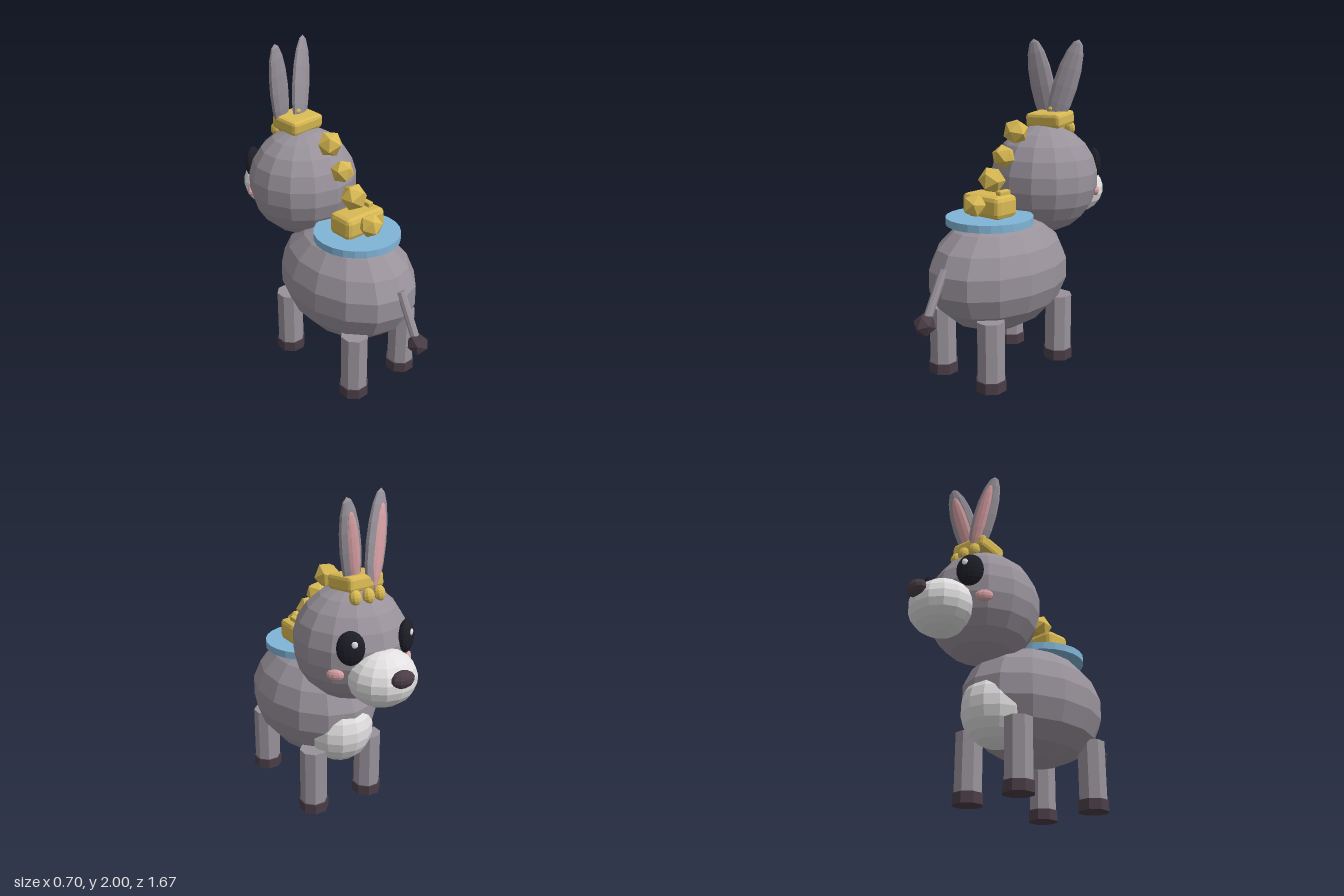
import * as THREE from 'three';
import { RoundedBoxGeometry } from 'three/addons/geometries/RoundedBoxGeometry.js';

const mat = (name, color) => {
  const m = new THREE.MeshStandardMaterial({ color, flatShading: true });
  m.name = name;
  return m;
};

export function createModel() {
  const model = new THREE.Group();
  model.name = 'donkey';
  const grey = mat('greyFur', 0x99929b);
  const white = mat('paleFur', 0xe2e0e1);
  const dark = mat('darkHoof', 0x4b3e47);
  const gold = mat('gold', 0xd8b953);
  const blue = mat('blueCloth', 0x80b4d6);
  const pink = mat('pink', 0xd8a1a5);
  const black = mat('eyeBlack', 0x1e1e28);
  const shine = mat('eyeShine', 0xffffff);

  const add = (name, geometry, material, pos, parent = model) => {
    const mesh = new THREE.Mesh(geometry, material);
    mesh.name = name;
    mesh.position.set(...pos);
    parent.add(mesh);
    return mesh;
  };
  // Faceted ellipsoid, turned half a segment so a flat side faces +x and -x
  const ball = (name, material, pos, radii, seg = 14, rows = 11, parent = model) => {
    const g = new THREE.SphereGeometry(1, seg, rows);
    g.rotateY(Math.PI / 2);
    g.scale(...radii);
    return add(name, g, material, pos, parent);
  };

  // Body, chest, head and muzzle
  ball('body', grey, [0, 0.615, 0.15], [0.365, 0.36, 0.495], 14, 9);
  ball('chestPatch', white, [0, 0.52, -0.16], [0.21, 0.225, 0.212]);
  ball('head', grey, [0, 1.13, -0.28], [0.342, 0.345, 0.342]);
  ball('muzzle', white, [0, 1.02, -0.6], [0.202, 0.165, 0.19]);
  ball('nose', dark, [0, 1.077, -0.787], [0.072, 0.05, 0.045], 10, 7);

  // Legs with hooves
  for (const x of [-0.2, 0.2]) {
    for (const z of [0.445, -0.185]) {
      const leg = new THREE.Group();
      leg.name = z > 0 ? 'backLeg' : 'frontLeg';
      leg.position.set(x, 0, z);
      model.add(leg);
      const shaft = add('shaft', new THREE.CylinderGeometry(0.085, 0.085, 0.37, 8), grey, [0, 0.235, 0], leg);
      const hoof = add('hoof', new THREE.CylinderGeometry(0.093, 0.093, 0.065, 8), dark, [0, 0.0325, 0], leg);
      shaft.rotation.y = hoof.rotation.y = Math.PI / 8;
    }
  }

  // Tail and tuft
  const tail = add('tail', new THREE.CylinderGeometry(0.026, 0.026, 0.32, 8), grey, [0, 0.58, 0.69]);
  tail.rotation.x = -0.48;
  const tuft = add('tailTuft', new THREE.IcosahedronGeometry(0.066, 0), dark, [0, 0.437, 0.77]);
  tuft.rotation.set(-0.48, 0.2, 0);

  // Ears, each leaning its own way, with a pink inner face
  const ears = [
    { name: 'rightEar', center: [-0.095, 1.71, -0.375], lean: [-0.05, 0.29, 0.035] },
    { name: 'leftEar', center: [0.078, 1.71, -0.383], lean: [0.065, 0.285, -0.055] },
  ];
  for (const { name, center, lean } of ears) {
    const ear = new THREE.Group();
    ear.name = name;
    ear.position.set(...center);
    const yaw = new THREE.Quaternion().setFromAxisAngle(new THREE.Vector3(0, 1, 0), 0.3);
    ear.quaternion.setFromUnitVectors(new THREE.Vector3(0, 1, 0), new THREE.Vector3(...lean).normalize()).multiply(yaw);
    model.add(ear);
    ball('outerEar', grey, [0, 0, 0], [0.083, 0.3, 0.034], 10, 8, ear);
    ball('innerEar', pink, [0, -0.01, -0.021], [0.047, 0.235, 0.021], 10, 8, ear);
  }

  // Eyes and cheeks
  for (const side of [-1, 1]) {
    const eye = new THREE.Group();
    eye.name = side > 0 ? 'leftEye' : 'rightEye';
    eye.position.set(side * 0.185, 1.213, -0.56);
    eye.rotation.y = -side * 0.6;
    model.add(eye);
    ball('eyeball', black, [0, 0, 0], [0.08, 0.1, 0.042], 14, 10, eye);
    ball('highlight', shine, [-side * 0.022, 0.035, -0.038], [0.018, 0.02, 0.008], 8, 6, eye);
    const cheek = ball(side > 0 ? 'leftCheek' : 'rightCheek', pink, [side * 0.245, 1.05, -0.502], [0.052, 0.035, 0.024], 10, 7);
    cheek.rotation.y = -side * 0.8;
  }

  // Saddle cloth with the large gold bar
  add('saddleCloth', new THREE.CylinderGeometry(0.263, 0.263, 0.045, 24), blue, [0, 0.947, 0.235]);
  add('largeGoldBar', new RoundedBoxGeometry(0.295, 0.135, 0.178, 1, 0.03), gold, [0, 1.038, 0.235]);
  add('barClasp', new RoundedBoxGeometry(0.04, 0.035, 0.09, 1, 0.008), gold, [0.09, 1.115, 0.213]);

  // Gold bar on the crown, with a stud and three beads before it
  const crown = add('crownGoldBar', new RoundedBoxGeometry(0.25, 0.09, 0.205, 1, 0.022), gold, [0.005, 1.507, -0.33]);
  crown.rotation.set(0.1, 0.12, 0);
  ball('crownStud', gold, [0.01, 1.568, -0.33], [0.018, 0.018, 0.018], 8, 6);
  for (const i of [-1, 0, 1]) {
    const bead = ball('foreheadBead', gold, [i * 0.08, 1.447, -0.452 + Math.abs(i) * 0.012], [0.036, 0.045, 0.034], 10, 8);
    bead.rotation.x = 0.25;
  }

  // Gold nuggets running from the crown down to the bar
  const nuggets = [[1.45, -0.008, 0.08], [1.31, 0.105, 0.073], [1.18, 0.207, 0.083], [1.05, 0.355, 0.074]];
  nuggets.forEach(([y, z, r], i) => {
    const nugget = add('goldNugget', new THREE.IcosahedronGeometry(r, 0), gold, [-0.005, y, z]);
    nugget.rotation.set(0.5 + i * 0.7, 0.3 + i * 0.9, i * 0.4);
  });

  return model;
}
